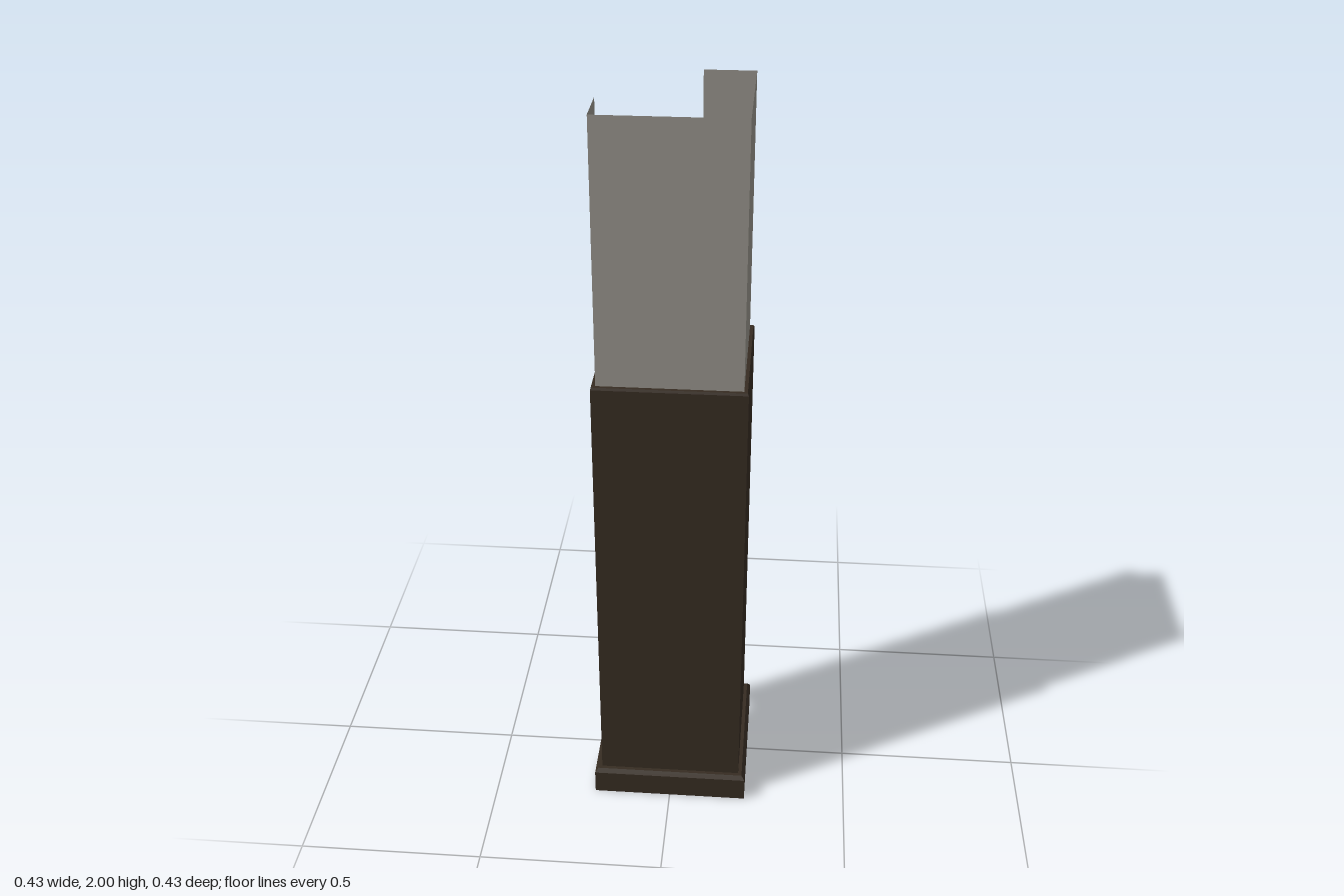
import * as THREE from 'three';

const wood = new THREE.MeshStandardMaterial({ color: 0x362c22, side: THREE.DoubleSide });
wood.name = 'dark wood';
const plaster = new THREE.MeshStandardMaterial({ color: 0x96928a, side: THREE.DoubleSide });
plaster.name = 'grey plaster';

// Plan of the open shell: distance o from the centre, free ends at e
const plan = (o, e) => [[-o, e], [-o, o], [o, o], [o, -o], [e, -o]];

// Sweeps a bottom-to-top profile of [offset, height, end] around the plan
function shell(name, profile, material) {
  const pos = [];
  for (let i = 0; i < profile.length - 1; i++) {
    const [o0, y0, e0] = profile[i];
    const [o1, y1, e1] = profile[i + 1];
    const low = plan(o0, e0), high = plan(o1, e1);
    for (let k = 0; k < low.length - 1; k++) {
      const a = [low[k][0], y0, low[k][1]];
      const b = [low[k + 1][0], y0, low[k + 1][1]];
      const c = [high[k + 1][0], y1, high[k + 1][1]];
      const d = [high[k][0], y1, high[k][1]];
      pos.push(...a, ...b, ...c, ...a, ...c, ...d);
    }
  }
  const geometry = new THREE.BufferGeometry();
  geometry.setAttribute('position', new THREE.Float32BufferAttribute(pos, 3));
  geometry.computeVertexNormals();
  const mesh = new THREE.Mesh(geometry, material);
  mesh.name = name;
  return mesh;
}

export function createModel() {
  const group = new THREE.Group();
  group.name = 'columnCladding';
  const end = 0.054;

  // Skirting with a chamfered top edge
  group.add(shell('baseboard', [
    [0.215, 0, 0.071], [0.215, 0.068, 0.071], [0.206, 0.079, 0.062], [0.196, 0.079, 0.062],
  ], wood));

  // Tall panel with a small bevel and a ledge on top
  group.add(shell('woodPanel', [
    [0.196, 0.079, end], [0.196, 1.308, end], [0.193, 1.314, end], [0.184, 1.314, end],
  ], wood));

  // Thin upper wall
  group.add(shell('upperWall', [[0.184, 1.314, end], [0.184, 2, end]], plaster));

  return group;
}
